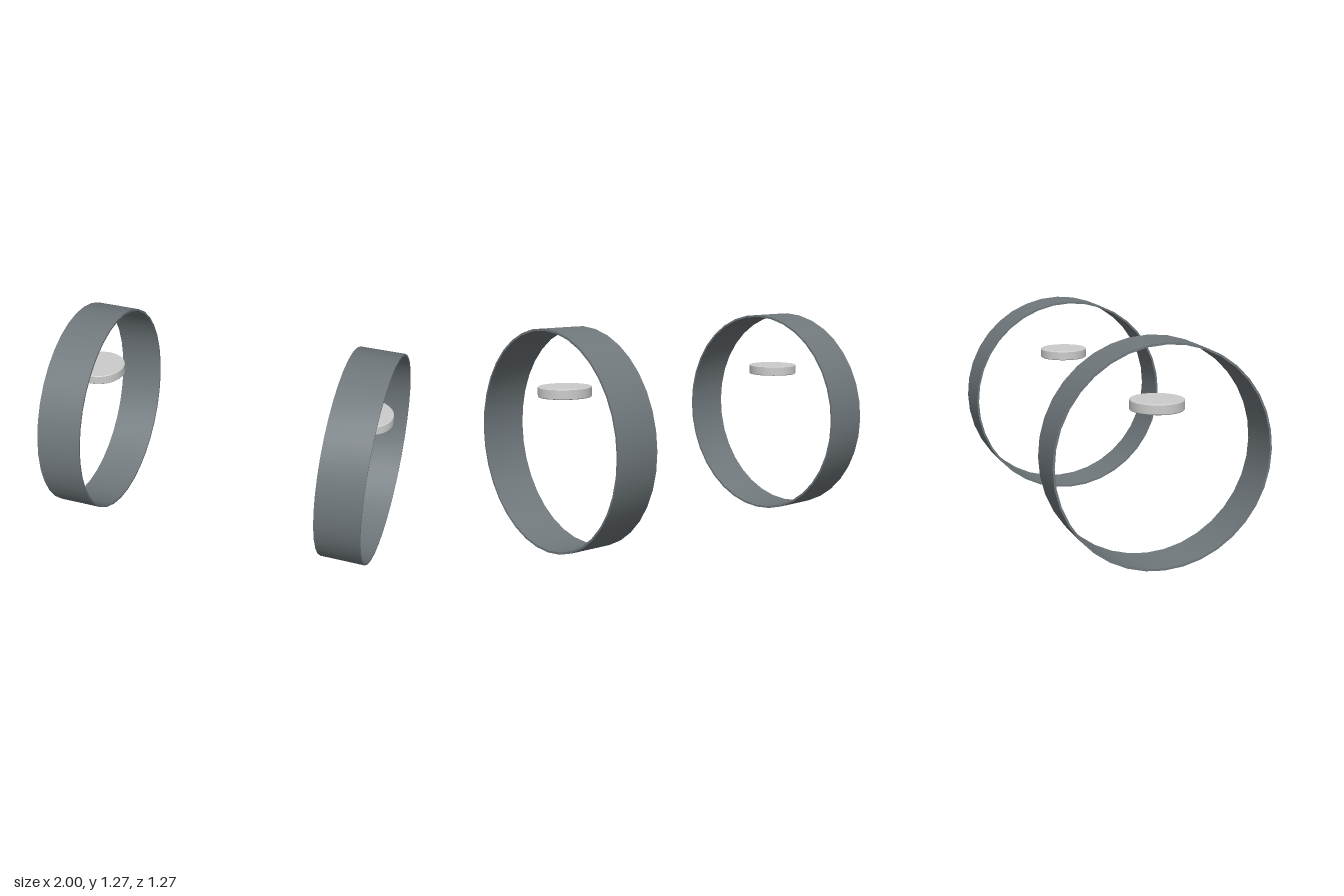
import * as THREE from 'three';
import { toCreasedNormals } from 'three/addons/utils/BufferGeometryUtils.js';

const RING_RADIUS = 0.634, RING_INNER = 0.622, RING_HALF_WIDTH = 0.135;
const DISC_RADIUS = 0.152, DISC_BOTTOM = 0.88, DISC_TOP = 0.938, BEVEL = 0.004;
const SIDE_X = 0.848;

// Revolve a profile of [radius, height] pairs, keeping its corners sharp
function revolve(profile, segments) {
  const points = profile.map(([r, y]) => new THREE.Vector2(r, y));
  return toCreasedNormals(new THREE.LatheGeometry(points, segments), Math.PI / 6);
}

export function createModel() {
  const model = new THREE.Group();
  const ringMaterial = new THREE.MeshStandardMaterial({ color: 0x70787c });
  const discMaterial = new THREE.MeshStandardMaterial({ color: 0xcccccc });

  // Thin-walled hoop: outer wall, rim, inner wall, rim
  const w = RING_HALF_WIDTH;
  const ringGeometry = revolve([
    [RING_RADIUS, -w], [RING_RADIUS, w], [RING_INNER, w], [RING_INNER, -w], [RING_RADIUS, -w],
  ], 36);
  ringGeometry.rotateZ(Math.PI / 2);

  // Flat disc with slightly bevelled edges
  const discGeometry = revolve([
    [0, DISC_BOTTOM], [DISC_RADIUS - BEVEL, DISC_BOTTOM], [DISC_RADIUS, DISC_BOTTOM + BEVEL],
    [DISC_RADIUS, DISC_TOP - BEVEL], [DISC_RADIUS - BEVEL, DISC_TOP], [0, DISC_TOP],
  ], 48);

  // One hoop with its floating disc on each side
  for (const [name, sign] of [['left', 1], ['right', -1]]) {
    const ring = new THREE.Mesh(ringGeometry, ringMaterial);
    ring.name = `${name}Ring`;
    ring.position.set(sign * SIDE_X, RING_RADIUS, 0);

    const disc = new THREE.Mesh(discGeometry, discMaterial);
    disc.name = `${name}Disc`;
    disc.position.x = sign * SIDE_X;

    model.add(ring, disc);
  }
  return model;
}
